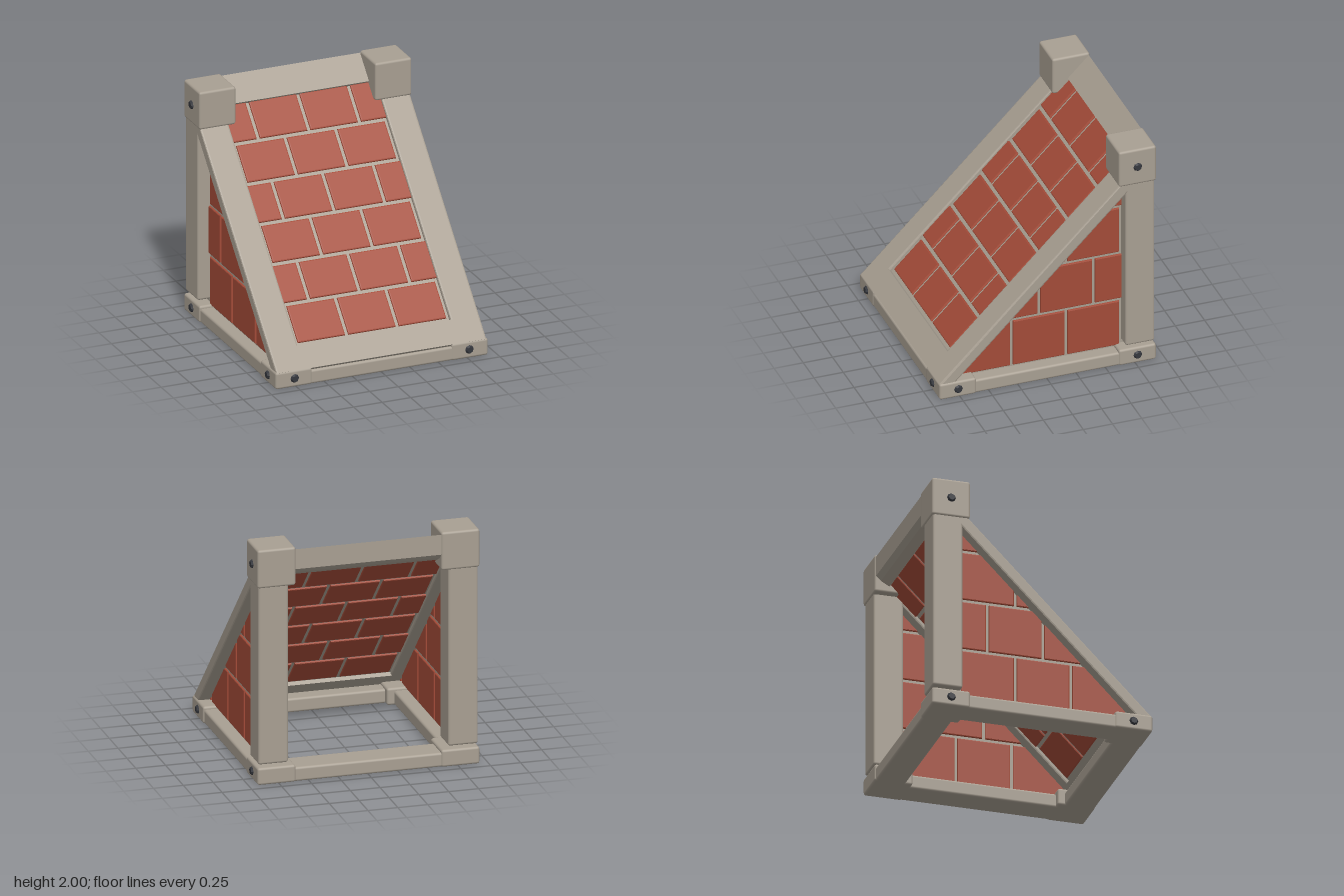
import * as THREE from 'three';
import { RoundedBoxGeometry } from 'three/addons/geometries/RoundedBoxGeometry.js';

const mat = (name, color) => {
  const m = new THREE.MeshStandardMaterial({ color });
  m.name = name;
  return m;
};

// Bevelled prism of a polygon, centred on its depth
function prism(points, depth, bevel) {
  const shape = new THREE.Shape(points.map(p => new THREE.Vector2(p[0], p[1])));
  const g = new THREE.ExtrudeGeometry(shape, {
    depth: depth - 2 * bevel, bevelEnabled: bevel > 0, bevelSize: bevel,
    bevelThickness: bevel, bevelOffset: -bevel, bevelSegments: 2,
  });
  return g.translate(0, 0, bevel - depth / 2);
}

// Keep the part of a polygon where x + y <= limit
function clipDiagonal(points, limit) {
  const out = [];
  points.forEach((a, i) => {
    const b = points[(i + 1) % points.length];
    const da = a[0] + a[1] - limit, db = b[0] + b[1] - limit;
    if (da <= 0) out.push(a);
    if (da * db < 0) {
      const t = da / (da - db);
      out.push([a[0] + t * (b[0] - a[0]), a[1] + t * (b[1] - a[1])]);
    }
  });
  return out;
}

const rect = (x0, y0, x1, y1) => [[x0, y0], [x1, y0], [x1, y1], [x0, y1]];

export function createModel() {
  const model = new THREE.Group();
  model.name = 'brickRamp';
  const stone = mat('stone', 0xa89f92);
  const brick = mat('brick', 0xa34b38);
  const iron = mat('iron', 0x35373d);

  const add = (name, geometry, material, parent = model) => {
    const m = new THREE.Mesh(geometry, material);
    m.name = name;
    parent.add(m);
    return m;
  };
  // Rounded box given by its lower and upper corners
  const block = (name, a, b, radius = 0.02) => {
    const s = b.map((v, i) => v - a[i]);
    add(name, new RoundedBoxGeometry(s[0], s[1], s[2], 2, radius), stone)
      .position.set(...a.map((v, i) => (v + b[i]) / 2));
  };
  // Profile given as (z, y), extruded along x
  const sideProfile = (points, width, bevel) => prism(points, width, bevel).rotateY(-Math.PI / 2);
  const bolt = (x, y, z, axis) => {
    const g = new THREE.CylinderGeometry(0.026, 0.046, 0.03, 8).toNonIndexed();
    g.computeVertexNormals();
    const m = add('bolt', g, iron);
    if (axis === 'z') m.rotation.x = Math.PI / 2;
    else m.rotation.z = -Math.sign(x) * Math.PI / 2;
    m.position.set(x, y, z);
  };

  // Base frame
  block('frontBaseBeam', [-0.9, 0, 0.67], [0.9, 0.12, 0.92]);
  block('backBaseBeam', [-0.9, 0, -0.92], [0.9, 0.12, -0.67]);

  // Sloping frame cross beams
  add('slopeTopBeam', sideProfile(
    [[-0.92, 1.98], [-0.92, 1.81], [-0.88, 1.77], [-0.81, 1.73], [-0.74, 1.8]], 1.5, 0.015), stone);
  add('slopeBottomBeam', sideProfile(
    [[0.92, 0.14], [0.77, 0.29], [0.7, 0.22], [0.8, 0.12], [0.9, 0.12]], 1.5, 0.012), stone);

  for (const s of [-1, 1]) {
    const span = (name, lo, hi, y0, y1, z0, z1, r) => block(name,
      [s > 0 ? lo : -hi, y0, z0], [s > 0 ? hi : -lo, y1, z1], r);
    span('sideBaseBeam', 0.67, 0.92, 0, 0.12, -0.9, 0.9);
    span('backPost', 0.67, 0.92, 0.17, 1.72, -0.92, -0.67);
    span('frontFoot', 0.61, 0.93, 0, 0.145, 0.61, 0.925);
    span('backFoot', 0.61, 0.93, 0, 0.145, -0.93, -0.61);
    span('topCap', 0.61, 0.93, 1.675, 2, -0.93, -0.61);

    // Sloping side beam
    add('slopeSideBeam', sideProfile(
      [[0.92, 0.14], [-0.9, 1.96], [-0.9, 1.82], [0.8, 0.12], [0.9, 0.12]], 0.25, 0.015), stone)
      .position.x = s * 0.795;

    // Bolts
    bolt(s * 0.932, 0.075, 0.765, 'x');
    bolt(s * 0.932, 0.075, -0.77, 'x');
    bolt(s * 0.932, 1.838, -0.77, 'x');
    bolt(s * 0.765, 0.075, 0.927, 'z');

    // Triangular brick wall
    const wall = new THREE.Group();
    wall.name = 'sideWall';
    wall.position.x = s * 0.795;
    model.add(wall);
    add('wallMortar', sideProfile(clipDiagonal(rect(-0.79, 0.1, 0.9, 1.8), 0.96), 0.03, 0), stone, wall);
    for (let row = 0; row < 4; row++) {
      const y0 = 0.135 + row * 0.435;
      for (let i = -2; i < 3; i++) {
        const start = (row % 2 ? 0.035 : 0.27) + i * 0.4675;
        const z0 = Math.max(start + 0.0125, -0.8), z1 = start + 0.455;
        if (z1 - z0 < 0.04) continue;
        const poly = clipDiagonal(rect(z0, y0, z1, y0 + 0.41), 0.98);
        if (poly.length > 2) add('wallBrick', sideProfile(poly, 0.06, 0.008), brick, wall);
      }
    }
  }

  // Sloping brick panel, laid flat and tilted 45 degrees
  const panel = new THREE.Group();
  panel.name = 'slopePanel';
  panel.position.set(0, 0.495, 0.495);
  panel.rotation.x = -Math.PI / 4;
  model.add(panel);
  const along = y => (y - 0.516) * Math.SQRT2;
  add('panelMortar', prism(rect(-0.7, along(0.2), 0.7, along(1.86)), 0.03, 0), stone, panel);
  for (let row = 0; row < 6; row++) {
    const y0 = 0.297 + row * 0.2525;
    for (let i = -2; i < 3; i++) {
      const start = (row % 2 ? -0.005 : -0.224) + i * 0.443;
      const x0 = Math.max(start + 0.014, -0.678), x1 = Math.min(start + 0.429, 0.678);
      if (x1 - x0 < 0.05) continue;
      add('panelBrick', prism(rect(x0, along(y0), x1, along(y0 + 0.231)), 0.06, 0.01), brick, panel);
    }
  }
  return model;
}
